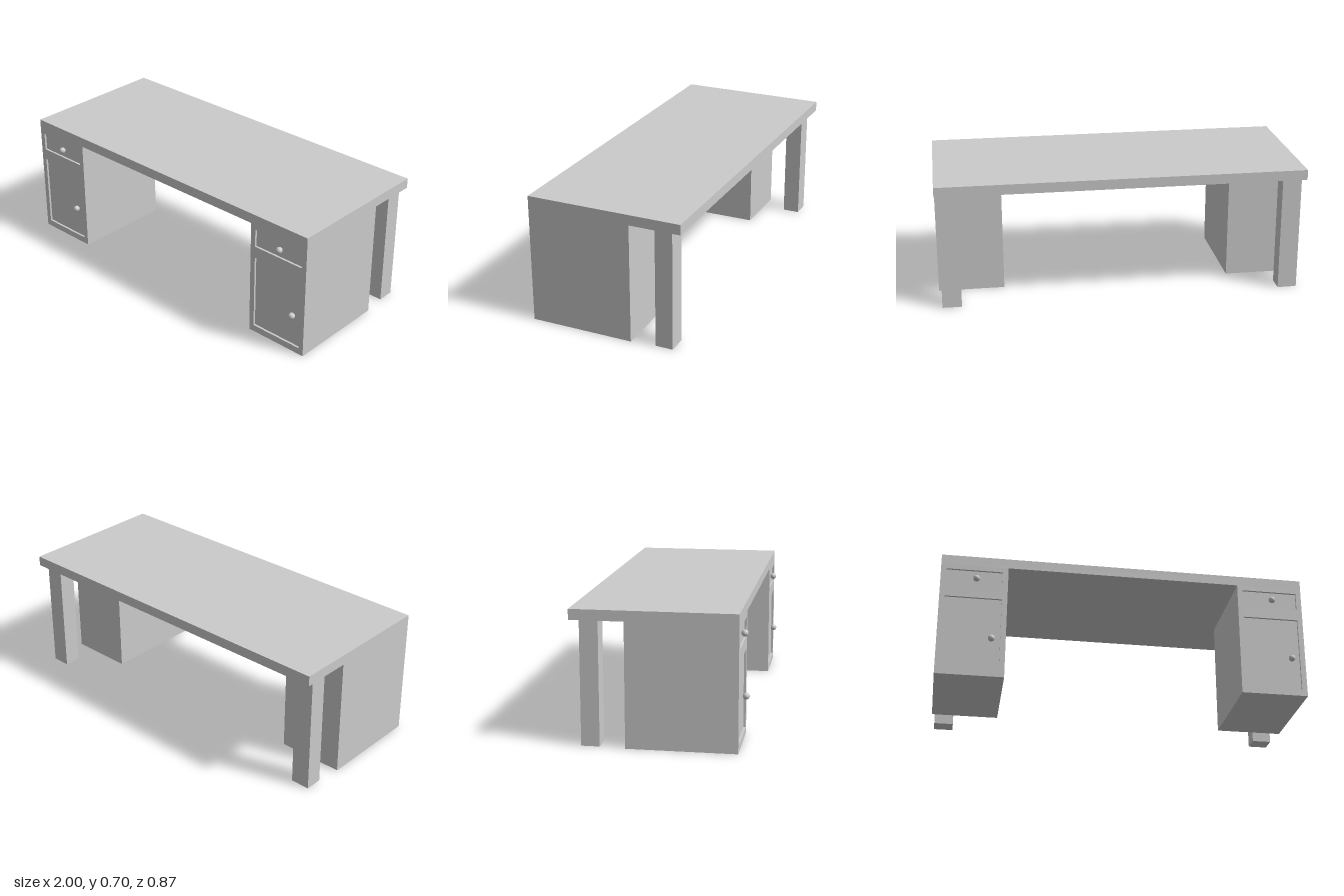
import * as THREE from 'three';

const FRONT = 0.41, RECESS = 0.012, TOP = 0.703, UNDER = 0.648;

export function createModel() {
  const desk = new THREE.Group();
  desk.name = 'desk';
  const material = new THREE.MeshStandardMaterial({ color: 0xcccccc });

  const add = (parent, name, geometry) => {
    const mesh = new THREE.Mesh(geometry, material);
    mesh.name = name;
    parent.add(mesh);
    return mesh;
  };
  // box given by its lower and upper limits
  const addBox = (parent, name, [x0, y0, z0], [x1, y1, z1]) =>
    add(parent, name, new THREE.BoxGeometry(x1 - x0, y1 - y0, z1 - z0))
      .position.set((x0 + x1) / 2, (y0 + y1) / 2, (z0 + z1) / 2);
  const rectangle = (Type, x0, y0, x1, y1) => new Type().setFromPoints([
    new THREE.Vector2(x0, y0), new THREE.Vector2(x1, y0),
    new THREE.Vector2(x1, y1), new THREE.Vector2(x0, y1)]).closePath();

  // table top
  addBox(desk, 'tableTop', [-1, UNDER, -0.435], [1, TOP, FRONT]);

  const knobGeometry = new THREE.SphereGeometry(0.018, 32, 20);

  for (const [side, x0] of [['right', -1], ['left', 0.637]]) {
    const x1 = x0 + 0.363;
    const pedestal = new THREE.Group();
    pedestal.name = side + 'Pedestal';
    desk.add(pedestal);

    // cabinet body; its front shows as the sunken drawer and door panels
    addBox(pedestal, 'cabinet', [x0, 0, -0.157], [x1, UNDER, FRONT - RECESS]);

    // front frame with openings for drawer and door
    const frame = rectangle(THREE.Shape, x0, 0, x1, UNDER);
    for (const [y0, y1] of [[0.52, 0.62], [0.037, 0.455]]) {
      frame.holes.push(rectangle(THREE.Path, x0 + 0.029, y0, x0 + 0.334, y1));
    }
    add(pedestal, 'frontFrame', new THREE.ExtrudeGeometry(frame, { depth: RECESS, bevelEnabled: false }))
      .position.z = FRONT - RECESS;

    // knobs
    add(pedestal, 'drawerKnob', knobGeometry).position.set(x0 + 0.193, 0.569, 0.417);
    add(pedestal, 'doorKnob', knobGeometry).position.set(x0 + 0.287, 0.218, 0.417);

    // back leg
    const s = Math.sign(x0);
    const inner = s * 0.88, outer = s * 0.985;
    addBox(desk, side + 'BackLeg', [Math.min(inner, outer), 0, -0.385], [Math.max(inner, outer), UNDER, -0.29]);
  }
  return desk;
}
